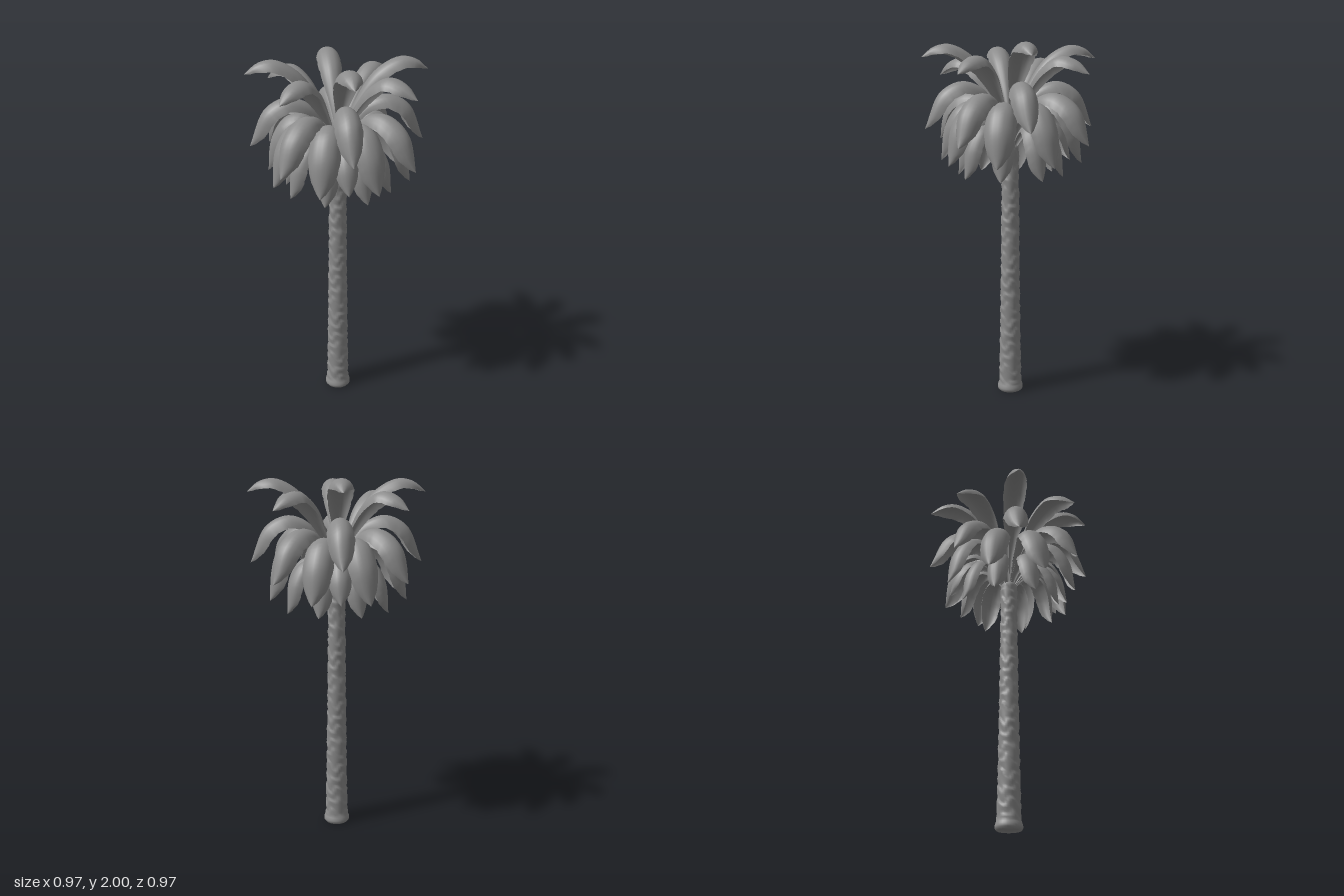
import * as THREE from 'three';
import { mergeVertices } from 'three/addons/utils/BufferGeometryUtils.js';

const gray = new THREE.MeshStandardMaterial({ color: 0x8c8c8c, side: THREE.DoubleSide });
gray.name = 'palm gray';

// Interpolates a list of [position, value] pairs
function lerpTable(table, t) {
  for (let i = 1; i < table.length; i++) {
    if (t <= table[i][0]) {
      const [a, va] = table[i - 1], [b, vb] = table[i];
      return va + (vb - va) * (t - a) / (b - a);
    }
  }
  return table[table.length - 1][1];
}

const leafWidth = [[0, 0.1], [0.15, 0.25], [0.3, 0.52], [0.45, 0.82], [0.58, 0.97], [0.7, 1], [0.82, 0.92], [0.9, 0.7], [0.96, 0.36], [1, 0]];

// Arched leaf: a curved channel swept along a spine given as [radius, height] points
function frondGeometry(spine, halfWidth, depth) {
  const curve = new THREE.CatmullRomCurve3(spine.map(([r, y]) => new THREE.Vector3(0, y, r)));
  const rows = 30, cols = 8, pos = [], index = [];
  for (let i = 0; i <= rows; i++) {
    const t = i / rows;
    const p = curve.getPointAt(t), tan = curve.getTangentAt(t);
    const k = lerpTable(leafWidth, t);
    // slight serration of the outer margin
    const notch = t > 0.45 && i % 4 === 0 ? 0.96 : 1;
    for (let j = 0; j <= cols; j++) {
      const u = j / cols * 2 - 1;
      const edge = Math.abs(u) === 1 ? notch : 1;
      const drop = depth * k * u * u * edge;
      pos.push(halfWidth * k * Math.sin(u * 1.25) / Math.sin(1.25) * edge,
        p.y - tan.z * drop, p.z + tan.y * drop);
    }
  }
  const n = cols + 1;
  for (let i = 0; i < rows; i++) {
    for (let j = 0; j < cols; j++) {
      const a = i * n + j;
      index.push(a, a + n, a + 1, a + 1, a + n, a + n + 1);
    }
  }
  const g = new THREE.BufferGeometry();
  g.setAttribute('position', new THREE.Float32BufferAttribute(pos, 3));
  g.setIndex(index);
  g.computeVertexNormals();
  return g;
}

// Trunk with staggered bark scales and a flared foot
function trunkGeometry() {
  const outline = [[0, 0.066], [0.012, 0.076], [0.03, 0.073], [0.06, 0.062], [0.3, 0.057], [0.8, 0.05], [1.2, 0.046], [1.45, 0.045]];
  const top = 1.45, rows = 150;
  const pts = [new THREE.Vector2(0, 0.01)];
  pts.push(new THREE.Vector2(0.055, 0.01), new THREE.Vector2(0.06, 0));
  for (let i = 0; i <= rows; i++) {
    const y = top * i / rows;
    pts.push(new THREE.Vector2(lerpTable(outline, y), y));
  }
  pts.push(new THREE.Vector2(0.03, 1.47), new THREE.Vector2(0.015, 1.54), new THREE.Vector2(0, 1.55));
  let g = new THREE.LatheGeometry(pts, 32);
  g.deleteAttribute('uv');
  g.deleteAttribute('normal');
  g = mergeVertices(g, 1e-5);
  const p = g.attributes.position;
  for (let i = 0; i < p.count; i++) {
    const x = p.getX(i), y = p.getY(i), z = p.getZ(i), r = Math.hypot(x, z);
    if (r < 0.001 || y < 0.05 || y > top) continue;
    const a = Math.atan2(z, x);
    const phase = y / 0.075 + 0.22 * Math.sin(3 * a + y * 17) + 0.2 * Math.sin(5 * a - y * 31);
    const scale = phase - Math.floor(phase);
    const bump = scale < 0.8 ? scale / 0.8 : (1 - scale) / 0.2;
    const s = (r + 0.007 * bump - 0.001) / r;
    p.setX(i, x * s);
    p.setZ(i, z * s);
  }
  g.computeVertexNormals();
  return g;
}

// Leaf tiers from the crown downward; angles in degrees from the front
const tiers = [
  { name: 'topFrond', count: 4, start: 0, width: 0.068, depth: 0.058,
    spine: [[0.015, 1.58], [0.09, 1.77], [0.2, 1.93], [0.33, 2.0], [0.42, 1.985], [0.487, 1.93]] },
  { name: 'upperDiagonalFrond', count: 4, start: 45, width: 0.07, depth: 0.058,
    spine: [[0.015, 1.56], [0.09, 1.71], [0.19, 1.86], [0.31, 1.935], [0.41, 1.91], [0.485, 1.84]] },
  { name: 'middleFrond', count: 4, start: 0, width: 0.073, depth: 0.075,
    spine: [[0.015, 1.52], [0.08, 1.67], [0.16, 1.77], [0.27, 1.805], [0.39, 1.745], [0.475, 1.55]] },
  { name: 'middleDiagonalFrond', count: 4, start: 45, width: 0.08, depth: 0.075,
    spine: [[0.015, 1.49], [0.1, 1.64], [0.2, 1.73], [0.31, 1.74], [0.425, 1.66], [0.49, 1.47]] },
  { name: 'lowerFrond', count: 8, start: 22.5, width: 0.086, depth: 0.07,
    spine: [[0.015, 1.45], [0.1, 1.61], [0.19, 1.695], [0.29, 1.675], [0.37, 1.56], [0.4, 1.36]] },
  { name: 'bottomFrond', count: 8, start: 22.5, width: 0.064, depth: 0.055,
    spine: [[0.015, 1.42], [0.08, 1.52], [0.15, 1.57], [0.22, 1.55], [0.28, 1.45], [0.3, 1.28]] },
  { name: 'hangingFrond', count: 2, start: 0, width: 0.064, depth: 0.055,
    spine: [[0.015, 1.43], [0.09, 1.54], [0.17, 1.6], [0.25, 1.585], [0.32, 1.5], [0.35, 1.36]] },
];

export function createModel() {
  const model = new THREE.Group();
  model.name = 'palmTree';

  const trunk = new THREE.Mesh(trunkGeometry(), gray);
  trunk.name = 'trunk';
  model.add(trunk);

  const crown = new THREE.Group();
  crown.name = 'crown';
  for (const { name, count, start, width, depth, spine } of tiers) {
    const g = frondGeometry(spine, width, depth);
    for (let i = 0; i < count; i++) {
      const frond = new THREE.Mesh(g, gray);
      frond.name = name;
      frond.rotation.y = (start + 360 * i / count) * Math.PI / 180;
      crown.add(frond);
    }
  }
  model.add(crown);
  return model;
}
